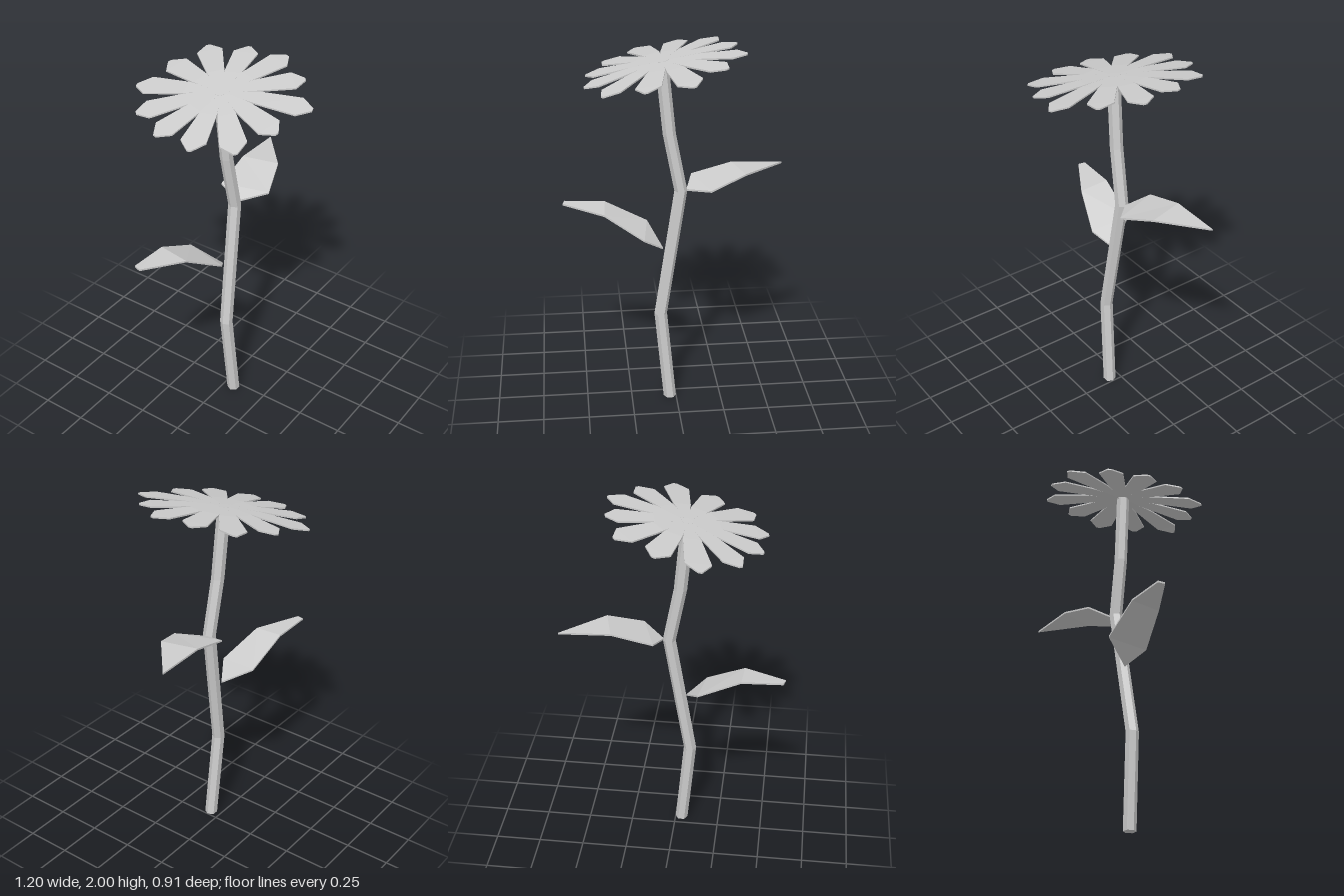
import * as THREE from 'three';

const material = new THREE.MeshStandardMaterial({ color: 0xcccccc, flatShading: true, side: THREE.DoubleSide });

function addMesh(parent, geometry, name) {
  const mesh = new THREE.Mesh(geometry, material);
  mesh.name = name;
  parent.add(mesh);
  return mesh;
}

// Thin blade: a strip through rows of [front, back] points, given a small thickness
function blade(rows, thickness) {
  const pos = [];
  const low = ([x, y, z]) => [x, y - thickness, z];
  const quad = (a, b, c, d) => pos.push(...a, ...b, ...c, ...a, ...c, ...d);
  for (let i = 0; i < rows.length - 1; i++) {
    const [f0, b0] = rows[i];
    const [f1, b1] = rows[i + 1];
    quad(f0, f1, b1, b0);
    quad(low(b0), low(b1), low(f1), low(f0));
    quad(low(f0), low(f1), f1, f0);
    quad(b0, b1, low(b1), low(b0));
  }
  const [f, b] = rows[rows.length - 1];
  quad(f, low(f), low(b), b);
  const geometry = new THREE.BufferGeometry();
  geometry.setAttribute('position', new THREE.Float32BufferAttribute(pos, 3));
  geometry.computeVertexNormals();
  return geometry;
}

// Six-sided stem bent through a few centre points
function stemGeometry() {
  const path = [
    [-0.035, 0, 0.06], [-0.083, 0.52, 0.044], [0.03, 1.235, 0.02],
    [-0.03, 1.55, 0.01], [-0.067, 1.93, 0.0],
  ];
  const geometry = new THREE.CylinderGeometry(0.035, 0.035, 1, 6, path.length - 1, false, Math.PI / 2);
  const p = geometry.attributes.position;
  for (let i = 0; i < p.count; i++) {
    const [x, y, z] = path[Math.round((p.getY(i) + 0.5) * (path.length - 1))];
    p.setXYZ(i, p.getX(i) + x, y, p.getZ(i) + z);
  }
  geometry.computeVertexNormals();
  return geometry;
}

// Petal along an angle, lying on the tilted, slightly drooping flower head
const center = [-0.063, 0];
function headPoint(r, w, angle) {
  const dx = r * Math.cos(angle) - w * Math.sin(angle);
  const dz = r * Math.sin(angle) + w * Math.cos(angle);
  return [center[0] + dx, 1.945 + 0.195 * dx - 0.13 * r * r, center[1] + dz];
}
function petalGeometry(angle, length) {
  const outline = [[0.03, 0.009], [0.4, 0.045], [0.855, 0.066], [0.995, 0.01]];
  const rows = outline.map(([t, w]) => [headPoint(t * length, w, angle), headPoint(t * length, -w, angle)]);
  return blade(rows, 0.008);
}

export function createModel() {
  const model = new THREE.Group();
  model.name = 'flower';
  addMesh(model, stemGeometry(), 'stem');

  // Leaves
  const rightBase = [0.06, 1.242, 0.02], rightTip = [0.597, 1.325, -0.127];
  addMesh(model, blade([
    [rightBase, rightBase],
    [[0.18, 1.272, 0.137], [0.1, 1.28, -0.115]],
    [[0.37, 1.333, 0.07], [0.32, 1.335, -0.127]],
    [rightTip, rightTip],
  ], 0.01), 'upperLeaf');
  const leftBase = [-0.065, 0.9, 0.01];
  addMesh(model, blade([
    [leftBase, leftBase],
    [[-0.14, 1.0, -0.148], [-0.17, 0.975, 0.075]],
    [[-0.37, 1.115, -0.165], [-0.38, 1.1, 0.0]],
    [[-0.59, 1.125, -0.168], [-0.6, 1.123, -0.13]],
  ], 0.01), 'lowerLeaf');

  // Flower head with a ring of petals
  const head = new THREE.Group();
  head.name = 'flowerHead';
  model.add(head);
  const lengths = [0.437, 0.425, 0.475, 0.425, 0.45, 0.42, 0.41, 0.425, 0.46, 0.425, 0.445, 0.41];
  lengths.forEach((length, i) => {
    addMesh(head, petalGeometry(THREE.MathUtils.degToRad(16 + i * 30), length), 'petal');
  });
  const disc = addMesh(head, new THREE.CylinderGeometry(0.032, 0.032, 0.012, 12), 'flowerCenter');
  disc.position.set(center[0], 1.939, center[1]);
  disc.rotation.z = Math.atan(0.195);

  return model;
}
